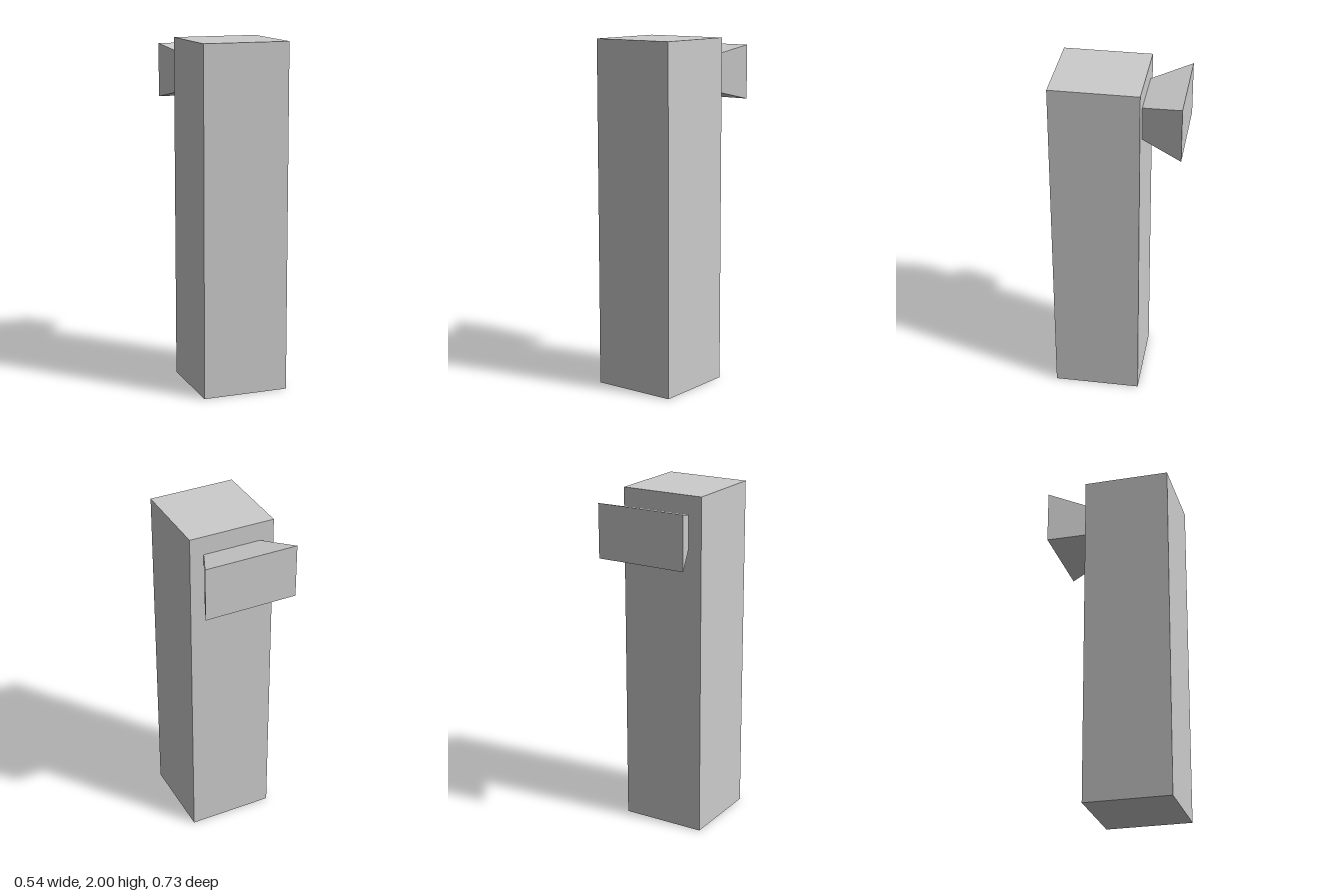
import * as THREE from 'three';

export function createModel() {
  const group = new THREE.Group();
  const grey = new THREE.MeshStandardMaterial({ color: 0xcccccc, flatShading: true });
  grey.name = 'grey';

  // Upright square column
  const column = new THREE.Mesh(new THREE.BoxGeometry(0.5, 2, 0.5), grey);
  column.name = 'column';
  column.position.set(0, 1, 0.113);
  group.add(column);

  // Block on the back that widens away from the column
  const geometry = new THREE.BoxGeometry(0.54, 0.312, 0.226);
  const pos = geometry.attributes.position;
  for (let i = 0; i < pos.count; i++) {
    if (pos.getZ(i) > 0) {
      pos.setX(i, pos.getX(i) * 0.626);
      pos.setY(i, pos.getY(i) * 0.62);
    }
  }
  geometry.computeVertexNormals();
  const flare = new THREE.Mesh(geometry, grey);
  flare.name = 'flaredBackBlock';
  flare.position.set(0, 1.794, -0.25);
  group.add(flare);

  return group;
}
